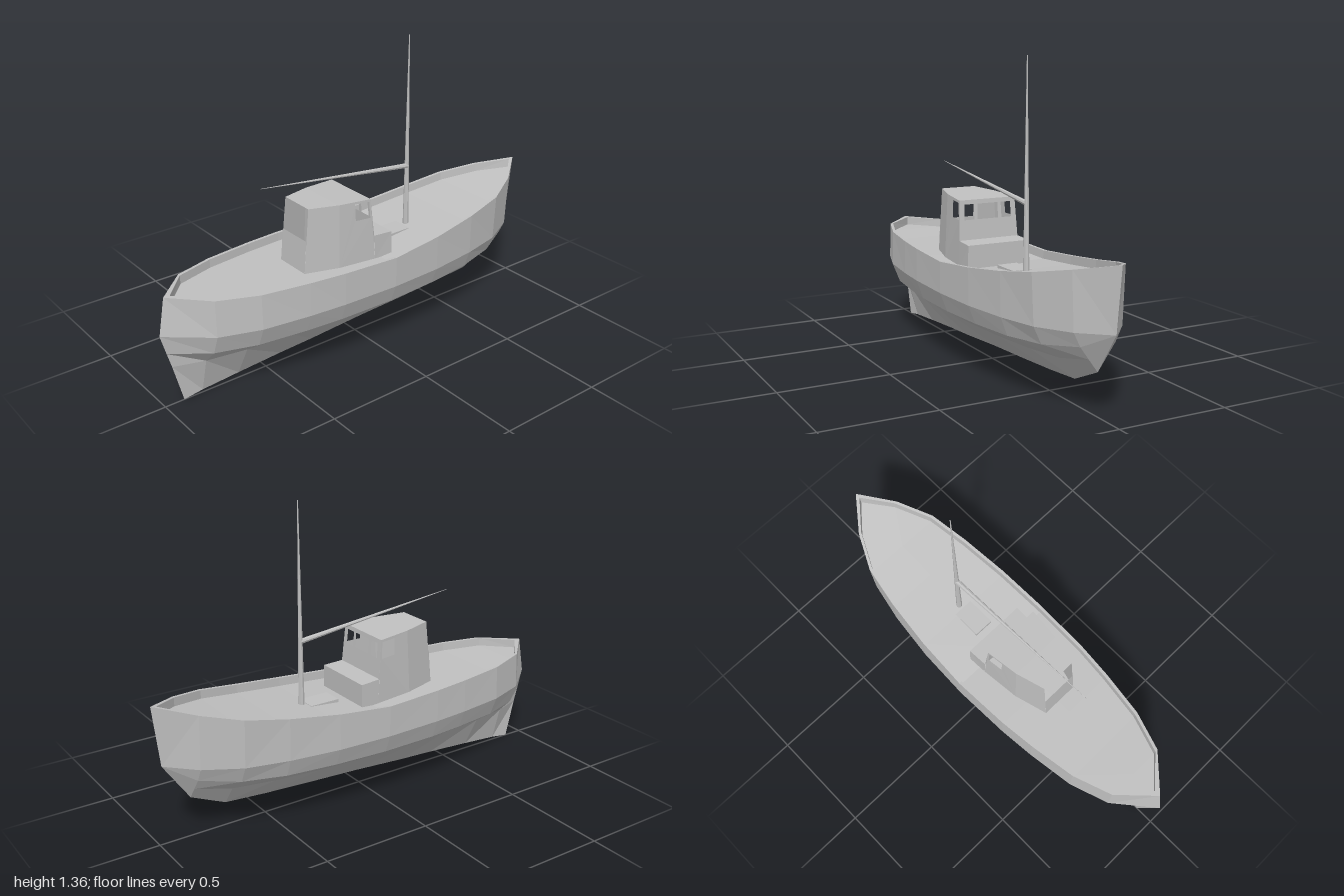
import * as THREE from 'three';

const paint = new THREE.MeshStandardMaterial({ color: 0xc0c0c0, flatShading: true, side: THREE.DoubleSide });
paint.name = 'plainGrey';

// Hull stations, stern to bow: x, sheer y/half width, mid y/w, chine y/w, low y/w, keel y
const stations = [
  [-0.82, 0.505, 0.145, 0.34, 0.150, 0.250, 0.115, 0.180, 0.045, 0.015],
  [-0.64, 0.497, 0.207, 0.34, 0.212, 0.250, 0.175, 0.182, 0.080, 0.028],
  [-0.42, 0.492, 0.240, 0.34, 0.243, 0.252, 0.208, 0.184, 0.105, 0.042],
  [-0.25, 0.488, 0.257, 0.34, 0.258, 0.253, 0.225, 0.186, 0.120, 0.050],
  [0.02, 0.480, 0.267, 0.34, 0.267, 0.256, 0.235, 0.190, 0.128, 0.068],
  [0.27, 0.502, 0.257, 0.34, 0.257, 0.259, 0.225, 0.194, 0.120, 0.080],
  [0.50, 0.530, 0.233, 0.342, 0.230, 0.262, 0.200, 0.198, 0.100, 0.093],
  [0.69, 0.560, 0.200, 0.345, 0.190, 0.270, 0.155, 0.204, 0.070, 0.108],
  [0.85, 0.592, 0.120, 0.350, 0.110, 0.290, 0.080, 0.235, 0.040, 0.180],
];

// One lengthwise line of the hull, closed at the stern and bow points
function line(stern, bow, point) {
  return [stern, ...stations.map(point), bow].map(([x, y, z]) => new THREE.Vector3(x, y, z));
}

// Skin between neighbouring lines, mirrored to both sides
function loft(name, lines) {
  const pos = [];
  for (const side of [1, -1]) {
    const put = (...pts) => {
      if (side < 0) pts.reverse();
      for (const p of pts) pos.push(p.x, p.y, p.z * side);
    };
    for (let l = 0; l < lines.length - 1; l++) {
      const [a, b] = [lines[l], lines[l + 1]];
      for (let i = 0; i < a.length - 1; i++) {
        put(a[i], b[i], b[i + 1]);
        put(a[i], b[i + 1], a[i + 1]);
      }
    }
  }
  const geo = new THREE.BufferGeometry();
  geo.setAttribute('position', new THREE.Float32BufferAttribute(pos, 3));
  geo.computeVertexNormals();
  return mesh(name, geo);
}

function mesh(name, geo) {
  const m = new THREE.Mesh(geo, paint);
  m.name = name;
  return m;
}

// Four-cornered panel (bottom a-b, top d-c) with windows given as [u0, u1, v0, v1]
function panel(name, a, b, c, d, windows = []) {
  const rect = (Kind, u0, u1, v0, v1) => new Kind([[u0, v0], [u1, v0], [u1, v1], [u0, v1]].map(p => new THREE.Vector2(...p)));
  const shape = rect(THREE.Shape, 0, 1, 0, 1);
  for (const w of windows) shape.holes.push(rect(THREE.Path, ...w));
  const geo = new THREE.ShapeGeometry(shape);
  const p = geo.attributes.position;
  const [A, B, C, D] = [a, b, c, d].map(q => new THREE.Vector3(...q));
  for (let i = 0; i < p.count; i++) {
    const u = p.getX(i), v = p.getY(i);
    const low = A.clone().lerp(B, u), high = D.clone().lerp(C, u);
    low.lerp(high, v);
    p.setXYZ(i, low.x, low.y, low.z);
  }
  geo.computeVertexNormals();
  return mesh(name, geo);
}

// Tapered round pole between two points
function pole(name, from, to, r0, r1) {
  const a = new THREE.Vector3(...from), b = new THREE.Vector3(...to);
  const dir = b.clone().sub(a);
  const m = mesh(name, new THREE.CylinderGeometry(r1, r0, dir.length(), 8));
  m.position.copy(a).lerp(b, 0.5);
  m.quaternion.setFromUnitVectors(new THREE.Vector3(0, 1, 0), dir.normalize());
  return m;
}

function wheelhouse() {
  const g = new THREE.Group();
  g.name = 'wheelhouse';
  const base = 0.44;
  // Lower and upper corners of one side, aft to front
  const low = [[-0.35, base, 0.088], [-0.195, base, 0.13], [-0.01, base, 0.147]];
  const top = [[-0.32, 0.745, 0.083], [-0.185, 0.739, 0.12], [-0.03, 0.731, 0.138]];
  const nose = [[0.08, base, 0.152], [0.08, 0.55, 0.15], [-0.015, 0.555, 0.146]];
  const flip = ([x, y, z]) => [x, y, -z];
  const same = q => q;
  for (const [side, f] of [['left', flip], ['right', same]]) {
    g.add(panel(side + 'AftWall', ...[low[0], low[1], top[1], top[0]].map(f)));
    g.add(panel(side + 'FrontWall', ...[low[1], low[2], top[2], top[1]].map(f), [[0.5, 0.95, 0.7, 0.96]]));
    g.add(panel(side + 'NoseWall', ...[low[2], ...nose].map(f)));
  }
  // Front wall with three openings above the low nose
  g.add(panel('frontWall', nose[2], flip(nose[2]), flip(top[2]), top[2],
    [[0.09, 0.26, 0.5, 0.89], [0.32, 0.68, 0.5, 0.89], [0.74, 0.91, 0.5, 0.89]]));
  g.add(panel('noseTop', nose[1], flip(nose[1]), flip(nose[2]), nose[2]));
  g.add(panel('noseFront', nose[0], flip(nose[0]), flip(nose[1]), nose[1]));
  // Half-height aft wall, open above
  const sill = [-0.336, 0.6, 0.086];
  g.add(panel('aftSill', flip(low[0]), low[0], sill, flip(sill)));
  g.add(panel('roofAft', top[0], top[1], flip(top[1]), flip(top[0])));
  g.add(panel('roofFront', top[1], top[2], flip(top[2]), flip(top[1])));
  g.position.z = 0.01;
  return g;
}

export function createModel() {
  const boat = new THREE.Group();
  boat.name = 'fishingBoat';

  // Hull lines from the rail down to the keel
  const stem = [0.97, 0.355, 0];
  const sheer = line([-0.97, 0.51, 0], [1, 0.625, 0], s => [s[0], s[1], s[2]]);
  const mid = line([-1, 0.34, 0], stem, s => [s[0], s[3], s[4]]);
  const chine = line([-0.975, 0.25, 0], stem, s => [s[0], s[5], s[6]]);
  const lower = line([-0.955, 0.18, 0], stem, s => [s[0], s[7], s[8]]);
  const keel = line([-0.91, 0.003, 0], stem, s => [s[0], s[9], 0]);
  boat.add(loft('hull', [sheer, mid, chine, lower, keel]));

  // Rail, inner bulwark and deck
  const inner = line([-0.94, 0.509, 0], [0.975, 0.62, 0], s => [s[0], s[1], s[2] - 0.014]);
  const edge = line([-0.94, 0.47, 0], [0.97, 0.58, 0], s => [s[0], s[1] - 0.038, s[2] - 0.016]);
  const middle = edge.map(p => new THREE.Vector3(p.x, p.y, 0));
  boat.add(loft('bulwark', [edge, inner, sheer]));
  boat.add(loft('deck', [middle, edge]));

  // Low hatch behind the mast
  const hatch = mesh('hatch', new THREE.BoxGeometry(0.14, 0.03, 0.095));
  hatch.position.set(0.21, 0.452, 0.003);
  boat.add(hatch);

  boat.add(wheelhouse());
  boat.add(pole('mast', [0.302, 0.45, 0], [0.302, 1.365, 0], 0.014, 0.002));
  boat.add(pole('boom', [0.302, 0.755, 0], [-0.49, 0.85, -0.003], 0.012, 0.001));
  return boat;
}
